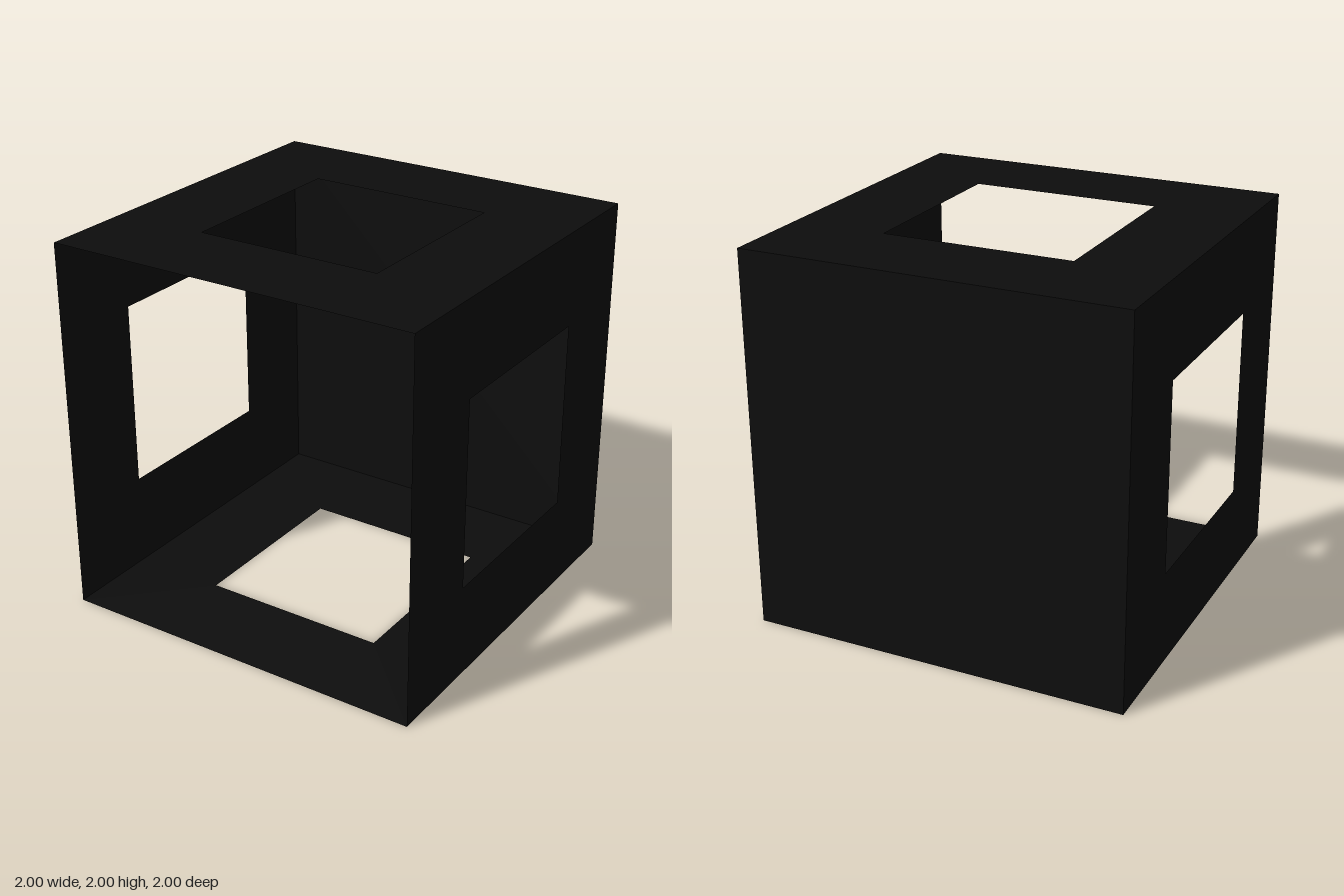
import * as THREE from 'three';

const SIZE = 2;
const WINDOW = 1;

// Square outline centred on the origin
function square(side, Type) {
  const h = side / 2;
  return new Type([
    new THREE.Vector2(-h, -h),
    new THREE.Vector2(h, -h),
    new THREE.Vector2(h, h),
    new THREE.Vector2(-h, h),
  ]);
}

export function createModel() {
  const black = new THREE.MeshStandardMaterial({ color: 0x0d0d0d, side: THREE.DoubleSide });
  black.name = 'black';

  const model = new THREE.Group();
  model.name = 'openBox';

  // Thin wall with a square window in the middle
  const frame = square(SIZE, THREE.Shape);
  frame.holes.push(square(WINDOW, THREE.Path));
  const windowWall = new THREE.ShapeGeometry(frame);
  const solidWall = new THREE.PlaneGeometry(SIZE, SIZE);

  function addWall(name, geometry, position, rotation) {
    const wall = new THREE.Mesh(geometry, black);
    wall.name = name;
    wall.position.set(...position);
    wall.rotation.set(...rotation);
    model.add(wall);
  }

  const q = Math.PI / 2;

  // Four windowed walls around a solid back; the front stays open
  addWall('leftWall', windowWall, [1, 1, 0], [0, q, 0]);
  addWall('rightWall', windowWall, [-1, 1, 0], [0, -q, 0]);
  addWall('topWall', windowWall, [0, 2, 0], [-q, 0, 0]);
  addWall('bottomWall', windowWall, [0, 0, 0], [q, 0, 0]);
  addWall('backWall', solidWall, [0, 1, -1], [0, Math.PI, 0]);

  return model;
}
